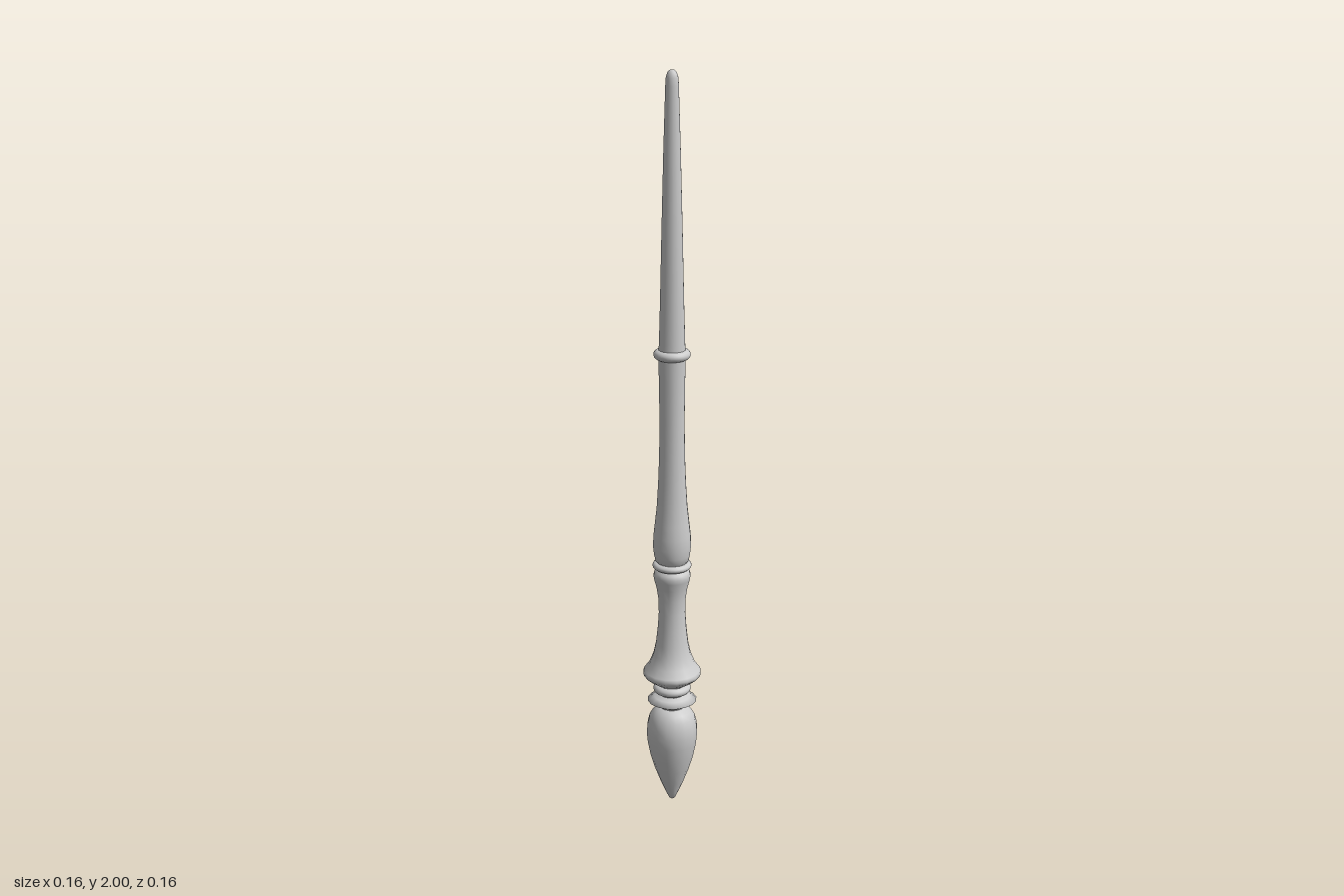
import * as THREE from 'three';

const material = new THREE.MeshStandardMaterial({ color: 0xcccccc });

// Turns a [radius, height] profile, listed bottom to top, into a named mesh
function turned(name, profile, sides = 16) {
  const points = profile.map(([r, y]) => new THREE.Vector2(r, y));
  const mesh = new THREE.Mesh(new THREE.LatheGeometry(points, sides), material);
  mesh.name = name;
  return mesh;
}

// Rounded collar: half-ellipse bulging from an inner radius
function collar(name, y, inner, outer, halfHeight) {
  const profile = [];
  for (let i = 0; i <= 8; i++) {
    const a = -Math.PI / 2 + (i / 8) * Math.PI;
    profile.push([inner + (outer - inner) * Math.cos(a), y + halfHeight * Math.sin(a)]);
  }
  return turned(name, profile, 32);
}

export function createModel() {
  const group = new THREE.Group();
  group.name = 'turnedWand';

  group.add(
    // Pointed bulb at the foot
    turned('pommelBulb', [
      [0, 0], [0.008, 0.006], [0.017, 0.025], [0.032, 0.06], [0.047, 0.1], [0.059, 0.14],
      [0.067, 0.18], [0.07, 0.21], [0.068, 0.235], [0.062, 0.257], [0.052, 0.274],
      [0.04, 0.284], [0.03, 0.288], [0, 0.289],
    ]),
    // Neck joining the bulb to the handle
    turned('pommelNeck', [[0.034, 0.28], [0.034, 0.36]]),
    turned('pommelDisc', [[0.034, 0.288], [0.048, 0.297], [0.067, 0.307], [0.048, 0.317], [0.034, 0.324]]),
    collar('pommelRing', 0.341, 0.034, 0.051, 0.013),
    // Flared, waisted handle
    turned('handle', [
      [0.034, 0.35], [0.046, 0.358], [0.06, 0.367], [0.076, 0.38], [0.079, 0.388], [0.076, 0.396],
      [0.062, 0.415], [0.051, 0.442], [0.044, 0.475], [0.039, 0.52], [0.036, 0.565],
      [0.037, 0.605], [0.042, 0.638], [0.048, 0.66], [0.05, 0.672], [0.047, 0.682], [0.04, 0.689],
    ]),
    turned('handleNeck', [[0.041, 0.68], [0.041, 0.72]]),
    collar('handleRing', 0.7, 0.038, 0.052, 0.01),
    // Swelling lower shaft
    turned('lowerShaft', [
      [0.038, 0.708], [0.044, 0.714], [0.048, 0.73], [0.051, 0.755], [0.05, 0.785], [0.046, 0.82],
      [0.041, 0.865], [0.037, 0.93], [0.034, 1.01], [0.033, 1.1], [0.034, 1.2], [0.036, 1.28],
    ]),
    collar('shaftRing', 1.28, 0.033, 0.048, 0.013),
    // Tapering upper shaft with a rounded tip
    turned('upperShaft', [
      [0.036, 1.28], [0.034, 1.31], [0.031, 1.42], [0.027, 1.6], [0.022, 1.8], [0.017, 1.96],
      [0.016, 1.98], [0.012, 1.993], [0.006, 1.999], [0, 2],
    ]),
  );
  return group;
}
